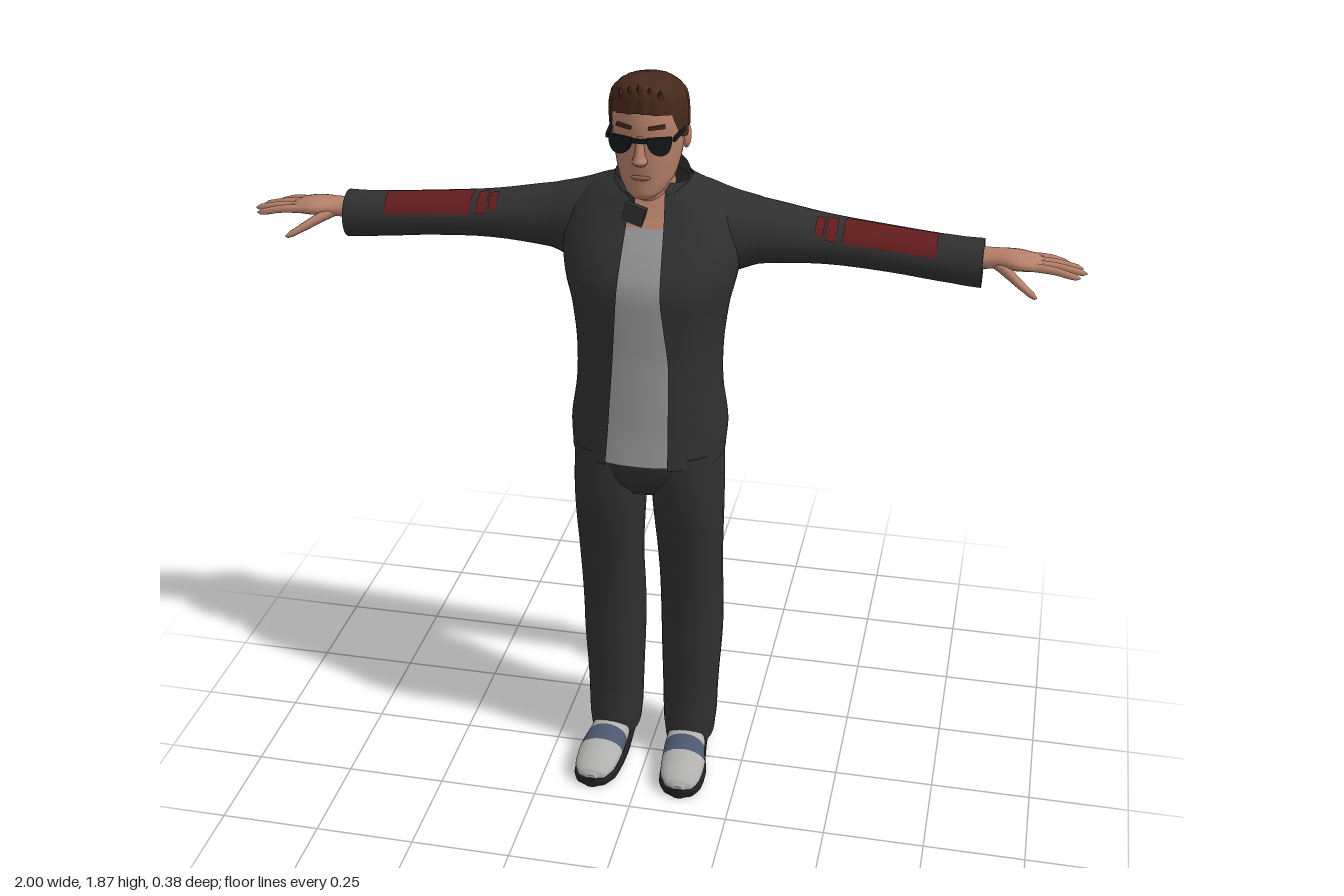
import * as THREE from 'three';
import { mergeGeometries, mergeVertices } from 'three/addons/utils/BufferGeometryUtils.js';

const mat = (name, color, side = THREE.FrontSide) =>
  Object.assign(new THREE.MeshStandardMaterial({ color, side }), { name });

// Smooth grid surface; fn(u, v) returns [x, y, z], outward is dv x du
function surface(fn, nu, nv) {
  const pos = [], idx = [];
  for (let j = 0; j <= nv; j++)
    for (let i = 0; i <= nu; i++) pos.push(...fn(i / nu, j / nv));
  for (let j = 0; j < nv; j++)
    for (let i = 0; i < nu; i++) {
      const a = j * (nu + 1) + i, b = a + nu + 1;
      idx.push(a, b, a + 1, a + 1, b, b + 1);
    }
  let g = new THREE.BufferGeometry();
  g.setAttribute('position', new THREE.Float32BufferAttribute(pos, 3));
  g.setIndex(idx);
  g = mergeVertices(g, 1e-5);
  g.computeVertexNormals();
  return g;
}

// Cross-section row at fractional index s: linear along the axis, spline elsewhere
function rowAt(rows, s) {
  const i = Math.min(Math.floor(s), rows.length - 2), f = s - i;
  const r = k => rows[Math.max(0, Math.min(rows.length - 1, k))];
  return rows[i].map((b, k) => {
    const a = r(i - 1)[k], c = r(i + 1)[k], d = r(i + 2)[k];
    if (k === 0) return b + (c - b) * f;
    return b + 0.5 * f * (c - a + f * (2 * a - 5 * b + 4 * c - d + f * (3 * (b - c) + d - a)));
  });
}
function indexAt(rows, t) {
  let i = 0;
  while (i < rows.length - 2 && t > rows[i + 1][0]) i++;
  return i + Math.max(0, Math.min(1, (t - rows[i][0]) / (rows[i + 1][0] - rows[i][0])));
}

// Point on a section. Row: [t, centre b, centre c, radius b, radius c]; b, c follow the axis cyclically
const bend = (v, p) => Math.sign(v) * Math.abs(v) ** (2 / p);
function point(axis, row, th, p = 2, grow = 0) {
  const o = [0, 0, 0];
  o[axis] = row[0];
  o[(axis + 1) % 3] = row[1] + (row[3] + grow) * bend(Math.sin(th), p);
  o[(axis + 2) % 3] = row[2] + (row[4] + grow) * bend(Math.cos(th), p);
  return o;
}

// Closed body through rows, with flat caps; t0..t1 limits it to a slice
function loft(axis, rows, { n = 24, p = 2, t0 = rows[0][0], t1 = rows.at(-1)[0] } = {}) {
  const s0 = indexAt(rows, t0), s1 = indexAt(rows, t1), tau = Math.PI * 2;
  const cap = (s, flip) => surface((u, v) => {
    const r = rowAt(rows, s), k = flip ? v : 1 - v;
    return point(axis, [r[0], r[1], r[2], r[3] * k, r[4] * k], u * tau, p);
  }, n, 1);
  return mergeGeometries([
    surface((u, v) => point(axis, rowAt(rows, s0 + (s1 - s0) * v), u * tau, p), n, Math.ceil((s1 - s0) * 4)),
    cap(s0, true), cap(s1, false)]);
}

function mirrored(g) {
  const m = g.clone().scale(-1, 1, 1), a = m.index.array;
  for (let i = 0; i < a.length; i += 3) [a[i], a[i + 1]] = [a[i + 1], a[i]];
  m.computeVertexNormals();
  return m;
}

// Piecewise linear lookup in [[t, value], ...]
function lerpTable(tab, t) {
  let i = 0;
  while (i < tab.length - 2 && t > tab[i + 1][0]) i++;
  const [a, b] = [tab[i], tab[i + 1]];
  return THREE.MathUtils.lerp(a[1], b[1], THREE.MathUtils.clamp((t - a[0]) / (b[0] - a[0]), 0, 1));
}

export function createModel() {
  const model = new THREE.Group();
  model.name = 'standingMan';
  const cloth = mat('darkCloth', 0x303030, THREE.DoubleSide);
  const red = mat('darkRed', 0x641d1d, THREE.DoubleSide);
  const shirtGrey = mat('shirtGrey', 0x969696, THREE.DoubleSide);
  const skin = mat('skin', 0xb5806a, THREE.DoubleSide);
  const hairBrown = mat('hairBrown', 0x472a1c, THREE.DoubleSide);
  const black = mat('glassesBlack', 0x16171a);
  const shoeBlue = mat('shoeBlue', 0x4b576d);
  const shoeGrey = mat('shoeGrey', 0xb0b0ae);
  const soleDark = mat('soleDark', 0x202022);
  const lipTone = mat('lipTone', 0x94604f);
  const add = (name, g, m) => {
    const mesh = new THREE.Mesh(g, m);
    mesh.name = name;
    model.add(mesh);
    return mesh;
  };
  const pair = (name, g, m) => { add(name + 'Left', g, m); add(name + 'Right', mirrored(g), m); };
  const box = (w, h, d, x, y, z, rz = 0, ry = 0) =>
    new THREE.BoxGeometry(w, h, d).rotateZ(rz).rotateY(ry).translate(x, y, z);
  const ball = (rx, ry, rz, x, y, z) => new THREE.SphereGeometry(1, 16, 12).scale(rx, ry, rz).translate(x, y, z);

  // Jacket body, open at the front over the shirt
  const torso = [
    [0.925, -0.003, 0, 0.147, 0.186], [1.0, -0.010, 0, 0.146, 0.190], [1.1, -0.010, 0, 0.143, 0.176],
    [1.2, -0.015, 0, 0.145, 0.175], [1.3, -0.020, 0, 0.153, 0.186], [1.38, -0.025, 0, 0.156, 0.204],
    [1.45, -0.043, 0, 0.143, 0.212], [1.52, -0.058, 0, 0.118, 0.195], [1.57, -0.062, 0, 0.098, 0.150],
    [1.605, -0.055, 0, 0.075, 0.090]];
  const P = 2.3;
  const openLeft = [[0.925, 0.072], [1.2, 0.070], [1.35, 0.052], [1.51, 0.046], [1.605, 0.04]];
  const openRight = [[0.925, -0.080], [1.2, -0.062], [1.35, -0.052], [1.51, -0.042], [1.605, -0.035]];
  const angle = (row, tab) => {
    const q = lerpTable(tab, row[0]) / row[4];
    return Math.acos(Math.sign(q) * Math.abs(q) ** (P / 2));
  };
  add('jacketBody', surface((u, v) => {
    const row = rowAt(torso, v * (torso.length - 1));
    const a = angle(row, openRight), b = angle(row, openLeft) + Math.PI * 2;
    return point(1, row, a + (b - a) * u, P);
  }, 44, 40), cloth);
  const frontStrip = (y0, y1) => surface((u, v) => {
    const row = rowAt(torso, indexAt(torso, y0 + (y1 - y0) * v));
    const a = angle(row, openRight) + 0.06, b = angle(row, openLeft) - 0.06;
    return point(1, row, b + (a - b) * u, P, -0.004);
  }, 12, 30);
  add('shirt', frontStrip(0.93, 1.51), shirtGrey);
  add('throat', frontStrip(1.51, 1.6), skin);

  // Standing collar, tilted forward, with a folded flap
  add('collar', surface((u, v) => {
    const th = THREE.MathUtils.lerp(1.85, 7.3, u);
    const z = -0.045 + 0.01 * v + (0.092 - 0.015 * v) * Math.sin(th);
    return [(0.102 - 0.014 * v) * Math.cos(th), 1.55 + 0.06 * v - (z + 0.03) * 0.45, z];
  }, 32, 3), cloth);
  add('collarFlap', box(0.05, 0.045, 0.014, -0.024, 1.54, 0.052, -0.25, -0.15).rotateX(0), cloth);

  // Sleeves with red marks along the upper front
  const sleeve = [
    [0.10, 1.485, -0.085, 0.105, 0.088], [0.18, 1.466, -0.085, 0.098, 0.094], [0.25, 1.466, -0.094, 0.077, 0.082],
    [0.4, 1.457, -0.098, 0.058, 0.068], [0.55, 1.447, -0.093, 0.054, 0.060], [0.7, 1.435, -0.087, 0.056, 0.055],
    [0.765, 1.432, -0.085, 0.058, 0.055]];
  pair('sleeve', loft(0, sleeve), cloth);
  const marks = [[0.38, 0.4, 0.5, 1.3], [0.405, 0.43, 0.35, 1.4], [0.445, 0.66, 0.3, 1.55]];
  pair('sleeveMark', mergeGeometries(marks.map(([x0, x1, a, b]) => surface((u, v) =>
    point(0, rowAt(sleeve, indexAt(sleeve, x0 + (x1 - x0) * v)), a + (b - a) * u, 2, 0.003), 8, 8))), red);

  // Hands: palm, four fingers and a thumb
  const fingers = [[-0.110, -0.124, 0.962], [-0.088, -0.098, 0.99], [-0.066, -0.070, 1.0], [-0.044, -0.040, 0.985]];
  pair('hand', mergeGeometries([
    loft(0, [[0.74, 1.445, -0.08, 0.026, 0.034], [0.79, 1.45, -0.078, 0.023, 0.034], [0.84, 1.452, -0.072, 0.021, 0.046],
      [0.88, 1.448, -0.076, 0.016, 0.045], [0.9, 1.445, -0.078, 0.010, 0.040]], { n: 16 }),
    ...fingers.map(([z0, z1, x]) => loft(0, [[0.87, 1.448, z0, 0.011, 0.011], [(0.87 + x) / 2, 1.444, (z0 + z1) / 2, 0.010, 0.010],
      [x - 0.012, 1.434, z1, 0.008, 0.008], [x, 1.432, z1, 0.002, 0.002]], { n: 8 })),
    loft(0, [[0.785, 1.445, -0.068, 0.014, 0.018], [0.825, 1.432, -0.035, 0.014, 0.021], [0.86, 1.415, -0.005, 0.011, 0.017],
      [0.885, 1.403, 0.013, 0.008, 0.010], [0.893, 1.4, 0.018, 0.002, 0.003]], { n: 10 })]), skin);

  // Trousers
  add('trouserSeat', loft(1, [[0.82, -0.005, 0, 0.08, 0.09], [0.86, -0.005, 0, 0.115, 0.155],
    [0.92, -0.006, 0, 0.135, 0.180], [0.98, -0.006, 0, 0.135, 0.178]], { p: 2.3 }), cloth);
  pair('trouserLeg', loft(1, [
    [0.05, -0.055, 0.1, 0.086, 0.063], [0.1, -0.055, 0.1, 0.090, 0.068], [0.2, -0.057, 0.1, 0.087, 0.071],
    [0.35, -0.060, 0.102, 0.1, 0.077], [0.45, -0.054, 0.102, 0.099, 0.078], [0.6, -0.027, 0.102, 0.097, 0.079],
    [0.8, -0.005, 0.098, 0.119, 0.087], [0.95, -0.008, 0.093, 0.130, 0.088]], { p: 2.3 }), cloth);

  // Shoes: upper in coloured slices over a dark sole
  const shoe = [
    [-0.135, 0.1, 0.045, 0.028, 0.025], [-0.12, 0.1, 0.052, 0.042, 0.042], [-0.05, 0.1, 0.058, 0.045, 0.050],
    [0.03, 0.103, 0.054, 0.052, 0.048], [0.09, 0.11, 0.045, 0.057, 0.036], [0.15, 0.113, 0.038, 0.052, 0.027],
    [0.18, 0.115, 0.032, 0.036, 0.018], [0.19, 0.115, 0.028, 0.012, 0.008]];
  const slices = [['shoeHeel', -0.135, -0.1, shoeGrey], ['shoeBack', -0.1, 0.015, shoeBlue], ['shoePatch', 0.015, 0.045, shoeGrey],
    ['shoeVamp', 0.045, 0.09, shoeBlue], ['shoeToe', 0.09, 0.19, shoeGrey]];
  for (const [name, t0, t1, m] of slices) pair(name, loft(2, shoe, { t0, t1 }), m);
  pair('shoeSole', loft(2, shoe.map(([z, x, , rx]) => [z * 1.01, x, 0.014, rx + 0.003, 0.014]), { p: 3.2 }), soleDark);

  // Neck, head, nose and ears
  add('neck', loft(1, [[1.5, -0.045, 0, 0.06, 0.065], [1.56, -0.03, 0, 0.062, 0.059], [1.65, -0.012, 0, 0.066, 0.056]]), skin);
  add('head', loft(1, [
    [1.59, 0.068, 0, 0.018, 0.024], [1.603, 0.048, 0, 0.046, 0.043], [1.63, 0.020, 0, 0.076, 0.063],
    [1.67, 0.004, 0, 0.097, 0.074], [1.72, 0, 0, 0.104, 0.081], [1.77, 0, 0, 0.106, 0.083],
    [1.82, 0, 0, 0.094, 0.074], [1.85, 0, 0, 0.05, 0.04]], { n: 32 }), skin);
  add('nose', loft(1, [[1.675, 0.098, 0, 0.012, 0.012], [1.686, 0.104, 0, 0.024, 0.018],
    [1.70, 0.104, 0, 0.019, 0.012], [1.745, 0.096, 0, 0.012, 0.009]], { n: 14 }), skin);
  pair('ear', ball(0.011, 0.030, 0.018, 0.083, 1.715, -0.015), skin);
  add('lips', ball(0.023, 0.007, 0.008, 0, 1.645, 0.094), lipTone);
  pair('eyebrow', box(0.038, 0.008, 0.008, 0.037, 1.765, 0.097, 0.08, 0.35), hairBrown);

  // Hair shell cut to a hairline, with strand ripples and a swept-up front
  const hair = [
    [1.64, -0.030, 0, 0.050, 0.058], [1.70, -0.012, 0, 0.095, 0.083], [1.77, -0.002, 0, 0.112, 0.089],
    [1.82, 0.008, 0, 0.108, 0.084], [1.848, 0.028, 0, 0.085, 0.062], [1.862, 0.045, 0, 0.045, 0.03], [1.864, 0.05, 0, 0, 0]];
  const hairline = [[0, 1.80], [0.85, 1.79], [1.15, 1.725], [1.5, 1.72], [1.75, 1.735], [2.1, 1.66], [Math.PI, 1.65]];
  add('hair', surface((u, v) => {
    const th = u * Math.PI * 2, fromFront = Math.abs(((th + Math.PI / 2) % (Math.PI * 2)) - Math.PI);
    const s0 = indexAt(hair, lerpTable(hairline, fromFront));
    const row = rowAt(hair, s0 + (hair.length - 1 - s0) * v);
    return point(1, row, th, 2, 0.0025 * Math.sin(th * 18 + v * 5) * (1 - v));
  }, 96, 20), hairBrown);
  add('hairQuiff', mergeGeometries([-2, -1, 0, 1, 2].map(i =>
    new THREE.ConeGeometry(0.022, 0.075, 8).scale(1, 1, 1.3).rotateX(0.6).rotateZ(-i * 0.12)
      .translate(i * 0.02, 1.838 - Math.abs(i) * 0.007, 0.098 - Math.abs(i) * 0.006))), hairBrown);

  // Sunglasses
  const lens = new THREE.Shape();
  lens.moveTo(-0.027, 0.018);
  lens.lineTo(0.030, 0.021);
  lens.quadraticCurveTo(0.032, -0.018, 0.008, -0.022);
  lens.quadraticCurveTo(-0.024, -0.022, -0.027, 0.018);
  pair('lens', mergeVertices(new THREE.ExtrudeGeometry(lens, { depth: 0.008, bevelEnabled: false }))
    .rotateY(0.3).translate(0.041, 1.725, 0.101), black);
  add('glassesBridge', box(0.034, 0.009, 0.008, 0, 1.736, 0.111), black);
  pair('glassesTemple', box(0.006, 0.010, 0.115, 0.081, 1.74, 0.04, 0, -0.09), black);
  return model;
}
